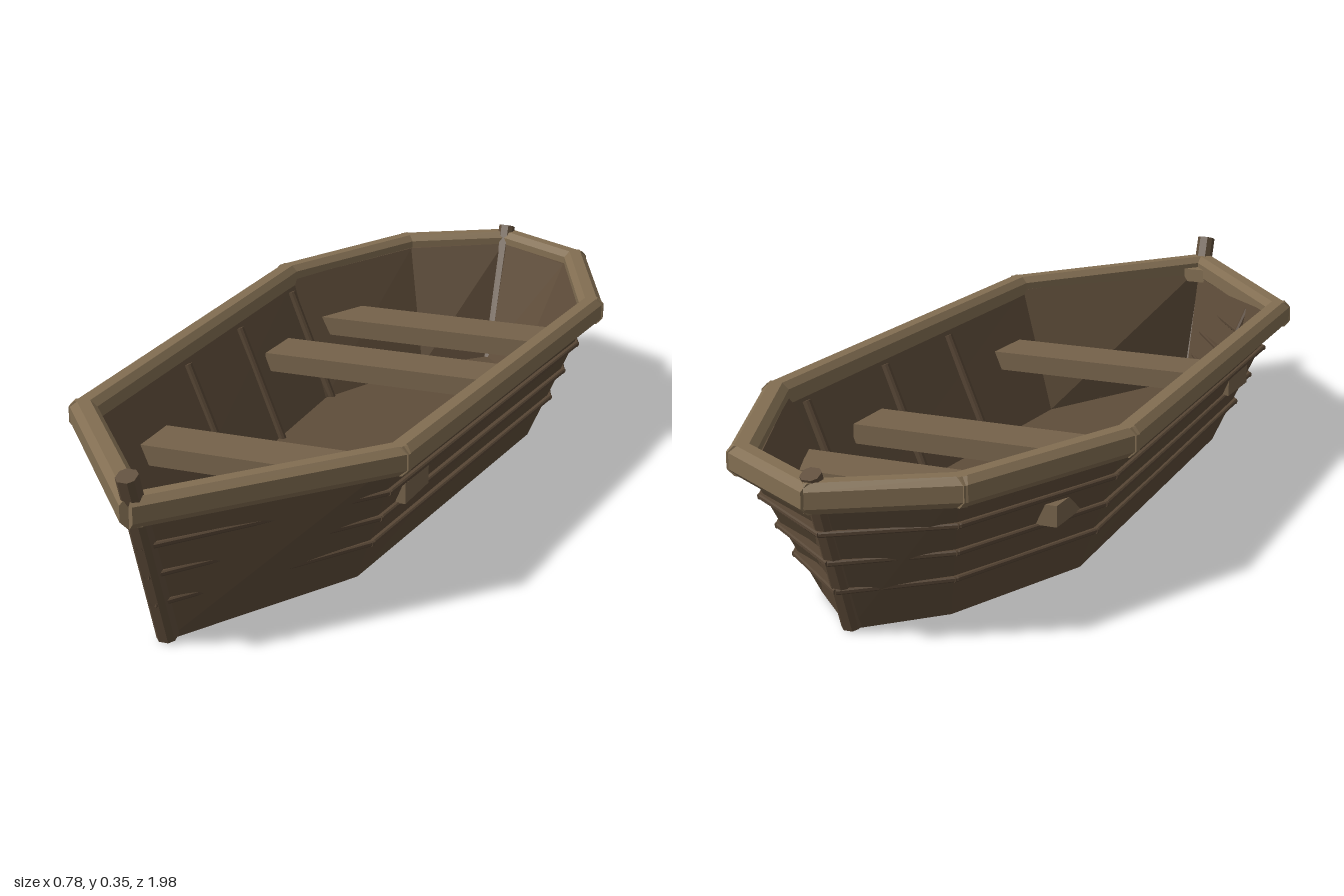
import * as THREE from 'three';

const wood = (color) => new THREE.MeshStandardMaterial({ color, flatShading: true });
const hullWood = wood(0x5f4d3a), trimWood = wood(0x826e52), seatWood = wood(0x75624a), darkWood = wood(0x574635);
const V = (x, y, z) => new THREE.Vector3(x, y, z);
const mirrorX = (pts) => [...pts, ...pts.slice(1, -1).reverse().map(([x, z]) => [-x, z])];

// Plan outlines [x, z], from bow to stern and back
const KEEL = mirrorX([[0, 0.855], [0.2, 0.47], [0.245, -0.4], [0.13, -0.71], [0, -0.845]]);
const SHEER = mirrorX([[0, 0.955], [0.315, 0.56], [0.36, -0.465], [0.21, -0.835], [0, -0.965]]);
const TOP = 0.28;

// Ring of points on the hull at height y
const ringAt = (y, inset = 0) => KEEL.map(([x, z], i) => {
  const t = y / TOP;
  const px = THREE.MathUtils.lerp(x, SHEER[i][0], t);
  const pz = THREE.MathUtils.lerp(z, SHEER[i][1], t);
  return V(px - Math.sign(px) * inset, y, pz * (1 - inset * 1.5));
});

// Half width of the hull at height y and station z
function halfWidth(y, z) {
  const r = ringAt(y);
  for (let i = 0; i < 4; i++) {
    const a = r[i], b = r[i + 1];
    if (z <= a.z && z >= b.z) return THREE.MathUtils.lerp(a.x, b.x, (a.z - z) / (a.z - b.z));
  }
  return 0;
}

// Chamfered timber running from a to b
function beam(name, a, b, w, h, mat, chamfer = 0.25, extend = 0) {
  const c = Math.min(w, h) * chamfer, x = w / 2, y = h / 2;
  const shape = new THREE.Shape([
    [x - c, -y], [x, -y + c], [x, y - c], [x - c, y],
    [-x + c, y], [-x, y - c], [-x, -y + c], [-x + c, -y],
  ].map((p) => new THREE.Vector2(...p)));
  const len = a.distanceTo(b) + extend * 2;
  const geo = new THREE.ExtrudeGeometry(shape, { depth: len, bevelEnabled: false });
  geo.translate(0, 0, -len / 2);
  const mesh = new THREE.Mesh(geo, mat);
  mesh.name = name;
  mesh.position.copy(a).lerp(b, 0.5);
  mesh.lookAt(b);
  return mesh;
}

// Hull shell with outer wall, inner wall, floor and bottom
function hull() {
  const rings = [ringAt(0), ringAt(TOP), ringAt(TOP, 0.02), ringAt(0.025, 0.02)];
  const pos = [];
  const tri = (...p) => p.forEach((v) => pos.push(v.x, v.y, v.z));
  const n = KEEL.length;
  for (let i = 0; i < n; i++) {
    const j = (i + 1) % n;
    for (let k = 0; k < 3; k++) {
      const lo = rings[k], hi = rings[k + 1];
      tri(lo[i], lo[j], hi[j]);
      tri(lo[i], hi[j], hi[i]);
    }
    tri(V(0, 0, 0), rings[0][j], rings[0][i]);
    tri(V(0, 0.025, 0), rings[3][i], rings[3][j]);
  }
  const geo = new THREE.BufferGeometry();
  geo.setAttribute('position', new THREE.Float32BufferAttribute(pos, 3));
  geo.computeVertexNormals();
  const mesh = new THREE.Mesh(geo, hullWood);
  mesh.name = 'hull';
  return mesh;
}

// Timbers following the hull outline all the way round
function belt(name, pts, w, h, mat, extend) {
  const g = new THREE.Group();
  g.name = name;
  pts.forEach((p, i) => g.add(beam(name + 'Segment', p, pts[(i + 1) % pts.length], w, h, mat, 0.25, extend)));
  return g;
}

export function createModel() {
  const boat = new THREE.Group();
  boat.name = 'rowingBoat';
  boat.add(hull());

  // Gunwale and the three thin strakes below it
  boat.add(belt('gunwale', ringAt(TOP), 0.05, 0.055, trimWood, 0.012));
  for (const y of [0.085, 0.145, 0.205]) boat.add(belt('strake', ringAt(y), 0.022, 0.01, darkWood, 0.006));

  // Bench seats: [z, depth]
  for (const [z, depth] of [[0.385, 0.12], [-0.24, 0.12], [-0.54, 0.12]]) {
    const seat = new THREE.Mesh(new THREE.BoxGeometry(0.57, 0.04, depth), seatWood);
    seat.name = 'seat';
    seat.position.set(0, 0.168, z);
    boat.add(seat);
  }

  // Ribs up the inside walls: [z at floor, z at top, inset from the outer face]
  for (const side of [1, -1]) {
    for (const [z0, z1, inset] of [[0.16, 0.16, 0.022], [-0.11, -0.11, 0.022], [-0.41, -0.41, 0.022], [0.6, 0.65, 0.012], [-0.68, -0.69, 0.012]]) {
      const a = V(side * (halfWidth(0.015, z0) - inset), 0.015, z0);
      const b = V(side * (halfWidth(0.26, z1) - inset), 0.26, z1);
      boat.add(beam('rib', a, b, 0.016, 0.02, darkWood));
    }
  }

  // Stem and stern posts, and the small knee behind the stem
  boat.add(beam('stemPost', V(0, 0.006, 0.846), V(0, 0.346, 0.972), 0.036, 0.036, hullWood));
  boat.add(beam('sternPost', V(0, 0.006, -0.836), V(0, 0.318, -0.962), 0.034, 0.034, hullWood));
  const kneeShape = new THREE.Shape([[-0.035, -0.885], [0.035, -0.885], [0.03, -0.915], [0, -0.95], [-0.03, -0.915]]
    .map((p) => new THREE.Vector2(...p)));
  const knee = new THREE.Mesh(new THREE.ExtrudeGeometry(kneeShape, { depth: 0.03, bevelEnabled: false }), trimWood);
  knee.name = 'bowKnee';
  knee.rotation.x = -Math.PI / 2;
  knee.position.y = 0.255;
  boat.add(knee);

  return boat;
}
